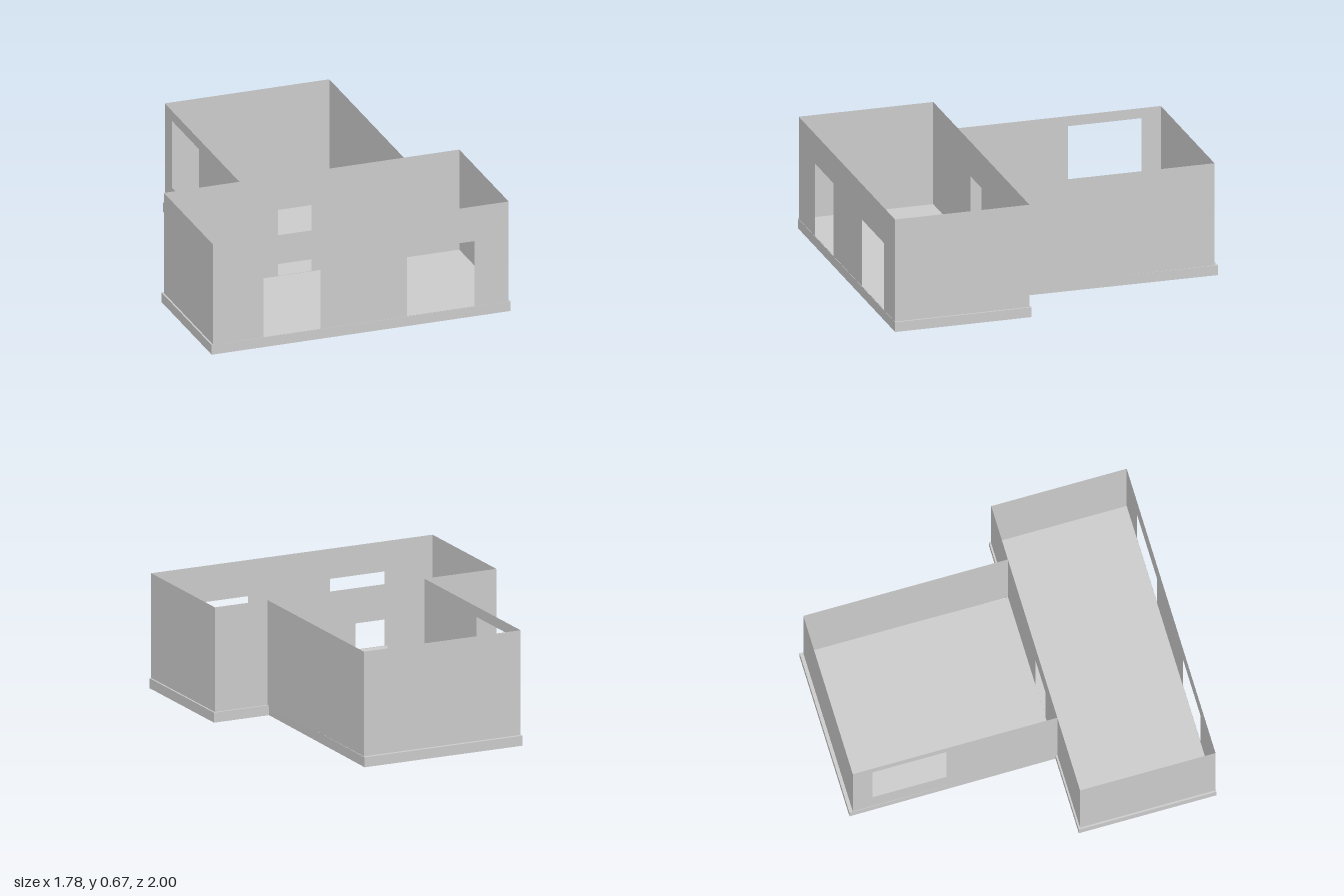
import * as THREE from 'three';

const BASE = 0.05;  // wall foot, sunk slightly into the slab
const TOP = 0.665;  // open wall top
const SLAB = 0.058; // slab thickness

export function createModel() {
  const group = new THREE.Group();
  const solid = new THREE.MeshStandardMaterial({ color: 0xcccccc, flatShading: true });
  const sheet = new THREE.MeshStandardMaterial({ color: 0xcccccc, flatShading: true, side: THREE.DoubleSide });

  const rect = (target, a0, a1, y0, y1) => {
    target.moveTo(a0, y0);
    target.lineTo(a1, y0);
    target.lineTo(a1, y1);
    target.lineTo(a0, y1);
    target.closePath();
    return target;
  };

  // Thin wall along x or z; openings are [from, to, bottom, top] in the same axis
  const wall = (name, axis, from, to, at, openings = []) => {
    const shape = rect(new THREE.Shape(), from, to, BASE, TOP);
    for (const o of openings) shape.holes.push(rect(new THREE.Path(), ...o));
    const geometry = new THREE.ShapeGeometry(shape);
    if (axis === 'z') geometry.rotateY(-Math.PI / 2).translate(at, 0, 0);
    else geometry.translate(0, 0, at);
    const mesh = new THREE.Mesh(geometry, sheet);
    mesh.name = name;
    group.add(mesh);
  };

  // T-shaped floor slab, outline drawn as (x, -z)
  const outline = [
    [-0.89, 1], [0.89, 1], [0.89, 0.2], [0.546, 0.2],
    [0.555, -1], [-0.433, -1], [-0.428, 0.2], [-0.89, 0.2],
  ].map(([x, z]) => new THREE.Vector2(x, -z));
  const slabGeometry = new THREE.ExtrudeGeometry(new THREE.Shape(outline), { depth: SLAB, bevelEnabled: false });
  slabGeometry.rotateX(-Math.PI / 2);
  const slab = new THREE.Mesh(slabGeometry, solid);
  slab.name = 'floorSlab';
  group.add(slab);

  // Front room
  wall('frontWall', 'x', -0.88, 0.88, 0.998, [
    [-0.58, -0.24, 0.06, 0.49],
    [0.275, 0.675, 0.06, 0.455],
  ]);
  wall('frontRoomRightWall', 'z', 0.21, 0.998, -0.88);
  wall('frontRoomLeftWall', 'z', 0.21, 0.998, 0.88);
  wall('dividingWall', 'x', -0.88, 0.88, 0.21, [[-0.2, 0, 0.06, 0.46]]);

  // Rear room
  wall('rearRoomRightWall', 'z', -0.98, 0.21, -0.43, [[-0.865, -0.435, 0.2, 0.605]]);
  wall('rearRoomLeftWall', 'z', -0.98, 0.21, 0.55);
  wall('backWall', 'x', -0.43, 0.55, -0.98);

  return group;
}
